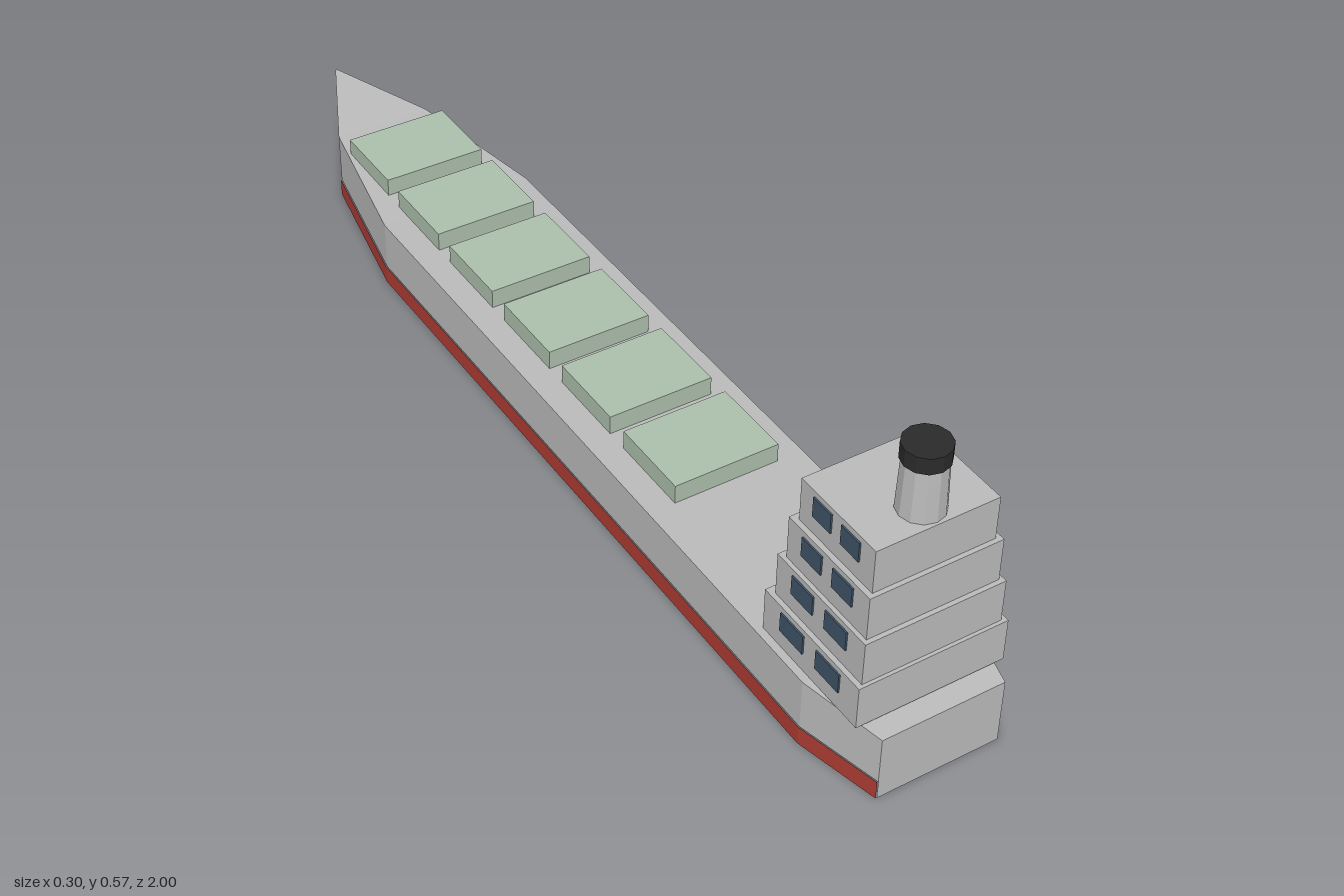
import * as THREE from 'three';

const mat = (name, color) => {
  const m = new THREE.MeshStandardMaterial({ color });
  m.name = name;
  return m;
};

// Hull stations from bow to stern: z, half width, keel height, waterline, deck height
const STATIONS = [
  [-1, 0.002, 0.035, 0.04, 0.15],
  [-0.8, 0.095, 0, 0.035, 0.136],
  [-0.5, 0.15, 0, 0.035, 0.13],
  [-0.3, 0.15, 0, 0.035, 0.13],
  [0.85, 0.15, 0, 0.035, 0.13],
  [1, 0.113, 0, 0.035, 0.123],
];
const KEEL = 2, WATER = 3, DECK = 4;

// One lengthwise line of the hull on the given side
const line = (side, level, outset = 0, from = 0, to = STATIONS.length) =>
  STATIONS.slice(from, to).map((s) => [side * (s[1] + outset), s[level], s[0]]);

// Flat-shaded ribbon of quads between two lines
function strip(a, b) {
  const pos = [];
  for (let i = 0; i < a.length - 1; i++) {
    pos.push(...a[i], ...b[i], ...b[i + 1], ...a[i], ...b[i + 1], ...a[i + 1]);
  }
  const g = new THREE.BufferGeometry();
  g.setAttribute('position', new THREE.Float32BufferAttribute(pos, 3));
  g.computeVertexNormals();
  return g;
}

export function createModel() {
  const grey = mat('hull grey', 0xbcbcbc);
  const red = mat('waterline red', 0xb03c35);
  const green = mat('hatch green', 0xadc0ac);
  const glass = mat('window blue', 0x405468);
  const black = mat('funnel black', 0x2b2b2b);

  const ship = new THREE.Group();
  ship.name = 'cargoShip';
  const add = (name, geometry, material, x = 0, y = 0, z = 0, parent = ship) => {
    const m = new THREE.Mesh(geometry, material);
    m.name = name;
    m.position.set(x, y, z);
    parent.add(m);
    return m;
  };

  // Hull sides with the red band standing slightly proud
  const hull = new THREE.Group();
  hull.name = 'hull';
  ship.add(hull);
  const part = (name, geometry, material) => add(name, geometry, material, 0, 0, 0, hull);
  part('leftSide', strip(line(1, WATER), line(1, DECK)), grey);
  part('rightSide', strip(line(-1, DECK), line(-1, WATER)), grey);
  part('leftWaterline', strip(line(1, KEEL, 0.002), line(1, WATER, 0.002)), red);
  part('rightWaterline', strip(line(-1, WATER, 0.002), line(-1, KEEL, 0.002)), red);

  // Deck, bottom and the flat ends
  part('deck', strip(line(1, DECK), line(-1, DECK)), grey);
  const bottom = (name, from, to, material) =>
    part(name, strip(line(-1, KEEL, 0.002, from, to), line(1, KEEL, 0.002, from, to)), material);
  bottom('bowBottom', 0, 4, grey);
  bottom('midBottom', 3, 5, red);
  bottom('sternBottom', 4, 6, grey);
  const end = (i, s, level) => line(s, level)[i];
  part('transom', strip([end(5, 1, KEEL), end(5, -1, KEEL)], [end(5, 1, DECK), end(5, -1, DECK)]), grey);
  part('stem', strip([end(0, -1, KEEL), end(0, 1, KEEL)], [end(0, -1, DECK), end(0, 1, DECK)]), grey);

  // Cargo hatches
  for (let i = 0; i < 6; i++) {
    add('cargoHatch', new THREE.BoxGeometry(0.2, 0.04, 0.158), green, 0, 0.146, 0.341 - i * 0.2);
  }

  // Stepped superstructure: width, depth, centre z
  const tiers = [
    [0.272, 0.24, 0.845],
    [0.254, 0.22, 0.849],
    [0.239, 0.2, 0.851],
    [0.22, 0.18, 0.853],
  ];
  const tower = new THREE.Group();
  tower.name = 'superstructure';
  ship.add(tower);
  tiers.forEach(([w, d, z], i) => {
    const y = 0.13 + i * 0.08;
    add('tier', new THREE.BoxGeometry(w, 0.08, d), grey, 0, y + 0.04, z, tower);
    // Two windows on each side
    for (const side of [-1, 1]) {
      for (const k of [-1, 1]) {
        const pane = new THREE.BoxGeometry(0.004, 0.036, d * 0.245);
        add('window', pane, glass, side * (w / 2 + 0.001), y + 0.052, z + k * d * 0.19, tower);
      }
    }
  });

  // Funnel with a black cap
  const flat = (g) => {
    const f = g.toNonIndexed();
    f.computeVertexNormals();
    return f;
  };
  add('funnel', flat(new THREE.CylinderGeometry(0.036, 0.039, 0.095, 12)), grey, 0, 0.4975, 0.9);
  add('funnelCap', flat(new THREE.CylinderGeometry(0.039, 0.039, 0.029, 12)), black, 0, 0.5575, 0.9);

  return ship;
}
